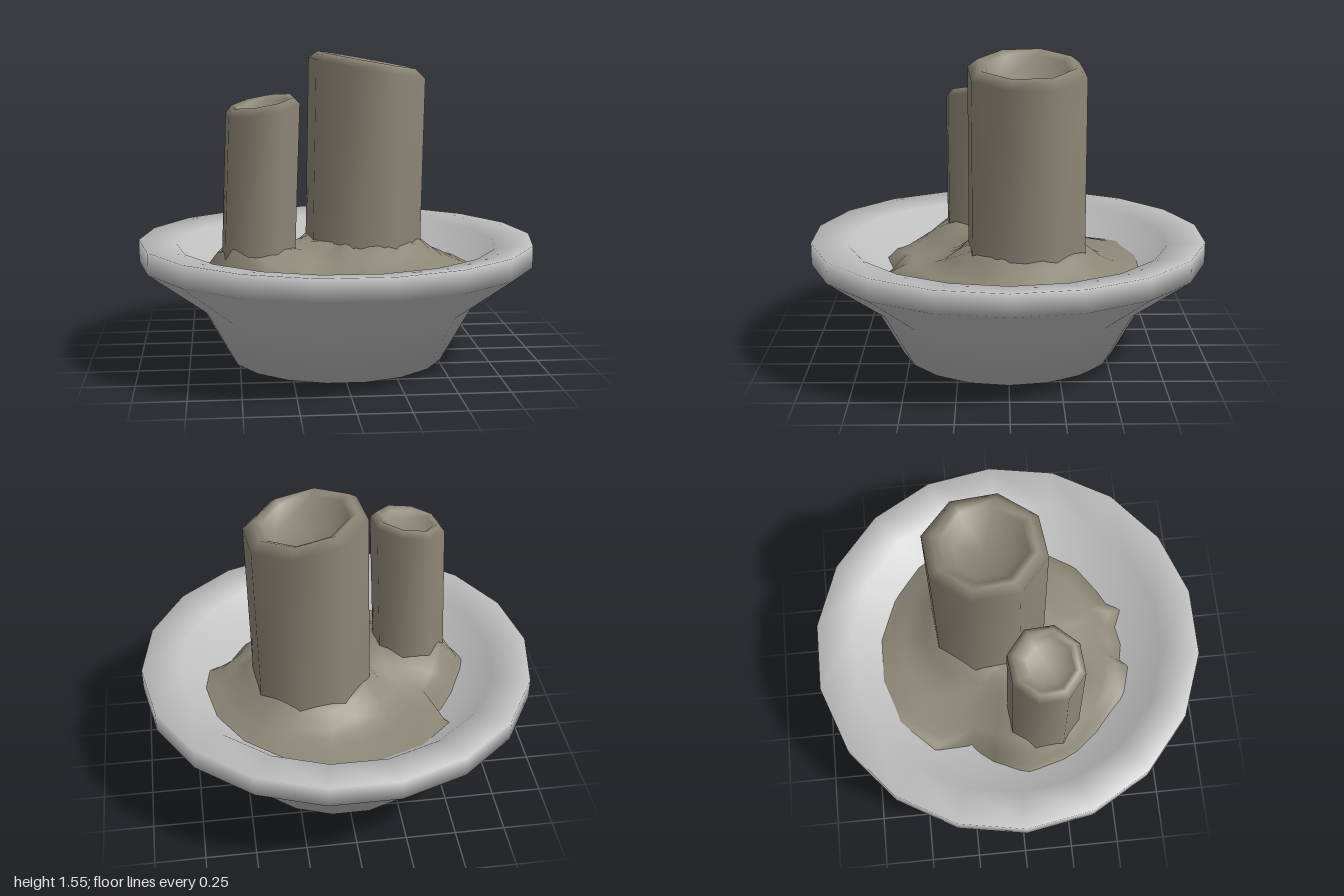
import * as THREE from 'three';
import { mergeVertices } from 'three/addons/utils/BufferGeometryUtils.js';

const stone = new THREE.MeshStandardMaterial({ color: 0xbdbdbd });
stone.name = 'stone grey';
const bark = new THREE.MeshStandardMaterial({ color: 0x8c8676 });
bark.name = 'dull bark';

// Smooth skin over closed rings of [x, y, z] points, all with the same count
function loft(rings) {
  const n = rings[0].length, index = [];
  for (let i = 0; i < rings.length - 1; i++) {
    for (let j = 0; j < n; j++) {
      const k = (j + 1) % n;
      const a = i * n + j, b = i * n + k, c = a + n, d = b + n;
      index.push(a, c, b, b, c, d);
    }
  }
  const g = new THREE.BufferGeometry();
  g.setAttribute('position', new THREE.Float32BufferAttribute(rings.flat(2), 3));
  g.setIndex(index);
  const merged = mergeVertices(g, 1e-4);
  merged.computeVertexNormals();
  return merged;
}

// Cut trunks: base and top centres, radius, and slope of the cut
const trunks = [
  { name: 'largeTrunk', base: [0.145, -0.09], top: [0.162, -0.09], r: 0.303, y: 1.465, sx: -0.18, sz: 0, lip: 0.04, hollow: 0.09 },
  { name: 'smallTrunk', base: [-0.4, 0.145], top: [-0.376, 0.145], r: 0.188, y: 1.28, sx: 0.17, sz: -0.1, lip: 0.035, hollow: 0.05 },
];

function trunkGeometry(t) {
  const ring = (cx, cz, r, height) => Array.from({ length: 8 }, (_, j) => {
    const a = (17 + 45 * j) * Math.PI / 180;
    const dx = r * Math.cos(a), dz = r * Math.sin(a);
    return [cx + dx, height(dx, dz), cz + dz];
  });
  const cut = (dy) => (dx, dz) => t.y + dy + t.sx * dx + t.sz * dz;
  return loft([
    ring(...t.base, t.r * 1.02, () => 0.42),
    ring(...t.base, t.r, () => 0.62),
    ring(...t.top, t.r, cut(0)),
    ring(...t.top, t.r * 0.83, cut(t.lip)),
    ring(...t.top, t.r * 0.7, cut(t.lip * 0.5)),
    ring(...t.top, t.r * 0.5, cut(t.lip - t.hollow)),
    ring(...t.top, 0, cut(t.lip - t.hollow)),
  ]);
}

// Ragged outline of the root mound where it meets the bowl wall (x, z)
const outline = [
  [-0.08, -0.68], [0.12, -0.67], [0.38, -0.56], [0.52, -0.44], [0.64, -0.25], [0.69, 0],
  [0.67, 0.15], [0.55, 0.28], [0.45, 0.43], [0.23, 0.57], [0.17, 0.64], [0.09, 0.6],
  [-0.02, 0.62], [-0.1, 0.6], [-0.16, 0.64], [-0.3, 0.6], [-0.45, 0.47], [-0.6, 0.31],
  [-0.69, 0.05], [-0.6, -0.13], [-0.48, -0.24], [-0.52, -0.43], [-0.36, -0.6], [-0.28, -0.63],
];

function moundGeometry() {
  const wallY = (r) => 0.34 + (r - 0.55) * 0.94;
  // Ground rises towards the foot of each trunk
  const ground = (x, z) => {
    let y = 0.465;
    for (const t of trunks) {
      const d = Math.max(0, Math.hypot(x - t.base[0], z - t.base[1]) - t.r * 0.96);
      y += 0.14 * Math.exp(-d / 0.09);
    }
    return Math.min(y, 0.605);
  };
  const rings = [1, 0.95, 0.88, 0.8, 0.7, 0.6, 0.5, 0.4, 0.3, 0.2, 0.1, 0].map((s) =>
    outline.map(([ox, oz]) => {
      const x = ox * s, z = oz * s;
      const blend = Math.min(1, (1 - s) / 0.12);
      const edge = wallY(Math.hypot(ox, oz)) - 0.01;
      return [x, edge + (ground(x, z) - edge) * blend, z];
    }));
  return loft(rings);
}

export function createModel() {
  const model = new THREE.Group();
  model.name = 'plantedBowl';
  const add = (name, geometry, material) => {
    const mesh = new THREE.Mesh(geometry, material);
    mesh.name = name;
    model.add(mesh);
    return mesh;
  };

  // Bowl: flared outside, upright rim, sloping inner wall and floor
  const profile = [
    [0, 0], [0.545, 0], [0.7, 0.28], [1, 0.5], [1, 0.61],
    [0.81, 0.585], [0.55, 0.34], [0, 0.3],
  ].map(([x, y]) => new THREE.Vector2(x, y));
  const bowl = add('bowl', new THREE.LatheGeometry(profile, 18), stone);
  bowl.rotation.y = Math.PI / 2;

  add('rootMound', moundGeometry(), bark);
  for (const t of trunks) add(t.name, trunkGeometry(t), bark);
  return model;
}
